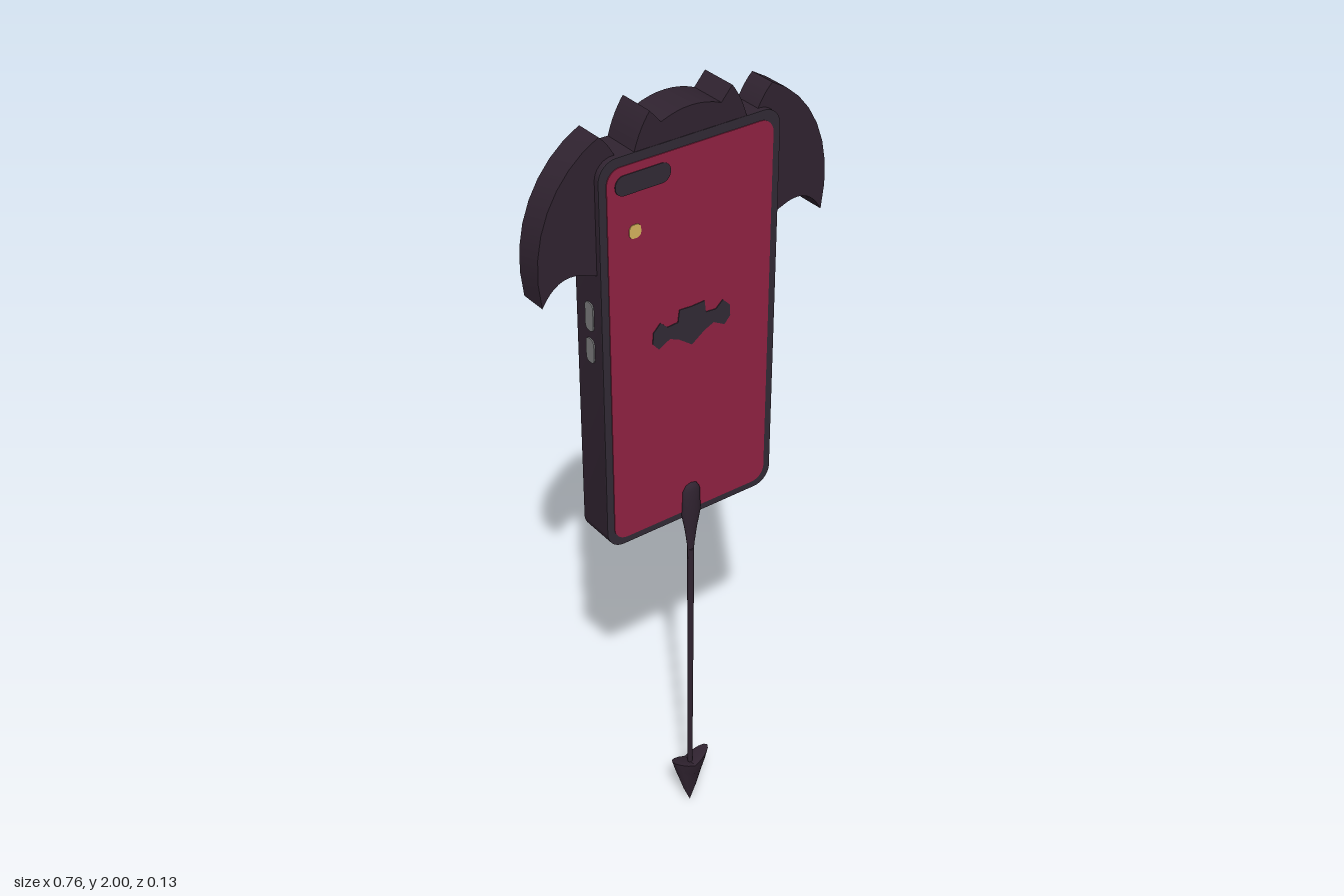
import * as THREE from 'three';
import { toCreasedNormals } from 'three/addons/utils/BufferGeometryUtils.js';

const mat = (name, color, opts = {}) => {
  const m = new THREE.MeshStandardMaterial({ color, ...opts });
  m.name = name;
  return m;
};

export function createModel() {
  const dark = mat('dark plum', 0x302330);
  const slate = mat('dark slate', 0x322a35);
  const red = mat('crimson', 0x922243);
  const grey = mat('grey', 0x7a7a7c);
  const gold = mat('gold', 0xd6b45e);

  const group = new THREE.Group();
  const add = (name, geometry, material, parent = group) => {
    const mesh = new THREE.Mesh(geometry, material);
    mesh.name = name;
    parent.add(mesh);
    return mesh;
  };

  // Rounded rectangle centred on (cx, cy)
  const roundRect = (cx, cy, w, h, r) => {
    const s = new THREE.Shape();
    const x = w / 2 - r, y = h / 2 - r;
    s.absarc(cx + x, cy + y, r, 0, Math.PI / 2);
    s.absarc(cx - x, cy + y, r, Math.PI / 2, Math.PI);
    s.absarc(cx - x, cy - y, r, Math.PI, Math.PI * 1.5);
    s.absarc(cx + x, cy - y, r, Math.PI * 1.5, Math.PI * 2);
    s.closePath();
    return s;
  };
  const polygon = (pts) => new THREE.Shape(pts.map(([x, y]) => new THREE.Vector2(x, y)));
  // Outline from its +x half, mirrored to the other side
  const mirrored = (half) => polygon([
    ...half,
    ...half.filter(([x]) => x > 0).reverse().map(([x, y]) => [-x, y]),
  ]);
  // Slab of a shape between two depths
  const slab = (shape, z0, z1) => {
    const g = new THREE.ExtrudeGeometry(shape, { depth: z1 - z0, bevelEnabled: false, curveSegments: 8 });
    g.translate(0, 0, z0);
    return toCreasedNormals(g, 0.6);
  };

  // Phone case
  add('caseBody', slab(roundRect(0, 1.43, 0.47, 0.98, 0.045), -0.06, 0.032), dark);
  add('frontBezel', slab(roundRect(0, 1.43, 0.47, 0.98, 0.045), 0.032, 0.035), slate);
  add('frontPanel', slab(roundRect(0, 1.428, 0.432, 0.94, 0.035), 0.035, 0.037), red);

  // Front details
  add('cameraStrip', slab(roundRect(-0.126, 1.855, 0.14, 0.046, 0.022), 0.037, 0.039), slate);
  add('flash', slab(roundRect(-0.148, 1.742, 0.03, 0.032, 0.012), 0.037, 0.039), gold);
  add('batDecoration', slab(mirrored([
    [0, 1.412], [0.035, 1.437], [0.06, 1.448], [0.09, 1.432], [0.106, 1.45], [0.104, 1.478],
    [0.085, 1.497], [0.066, 1.48], [0.038, 1.482], [0.034, 1.512], [0, 1.51],
  ]), 0.037, 0.039), slate);

  // Back details
  add('screen', slab(roundRect(0, 1.41, 0.42, 0.76, 0.012), -0.063, -0.06), grey);
  add('homeButton', slab(roundRect(0, 0.98, 0.14, 0.04, 0.019), -0.063, -0.06), red);
  for (const side of [-1, 1]) {
    add('backSlot', slab(roundRect(side * 0.058, 1.874, 0.052, 0.028, 0.01), -0.063, -0.06), grey);
  }
  add('screenIcon', slab(polygon([
    [0.092, 1.705], [0.092, 1.675], [0.107, 1.635], [0.135, 1.635], [0.15, 1.675], [0.15, 1.705],
  ]), -0.065, -0.063), slate);
  add('screenIconCentre', slab(roundRect(0.121, 1.652, 0.03, 0.034, 0.008), -0.067, -0.065), red);

  // Side buttons: [side, centre height, length]
  for (const [side, y, length] of [[1, 1.505, 0.1], [-1, 1.545, 0.07], [-1, 1.46, 0.06]]) {
    const g = slab(roundRect(0, 0, 0.03, length, 0.012), -0.002, 0.003);
    g.rotateY(side * Math.PI / 2);
    g.translate(side * 0.235, y, -0.01);
    add('sideButton', g, grey);
  }

  // Crown with two pointed ears
  const crown = new THREE.Shape();
  crown.moveTo(-0.155, 1.9);
  crown.lineTo(0.155, 1.9);
  crown.lineTo(0.145, 1.918);
  crown.quadraticCurveTo(0.132, 1.965, 0.105, 2.0);
  crown.lineTo(0.077, 1.968);
  crown.quadraticCurveTo(0, 2.0, -0.077, 1.968);
  crown.lineTo(-0.105, 2.0);
  crown.quadraticCurveTo(-0.132, 1.965, -0.145, 1.918);
  crown.closePath();
  add('earCrown', slab(crown, -0.06, 0.034), dark);

  // Bat wings with scalloped lower edges
  for (const side of [-1, 1]) {
    const w = new THREE.Shape();
    w.moveTo(side * 0.18, 1.91);
    w.quadraticCurveTo(side * 0.198, 1.95, side * 0.222, 1.97);
    w.bezierCurveTo(side * 0.33, 1.92, side * 0.405, 1.79, side * 0.372, 1.625);
    w.quadraticCurveTo(side * 0.335, 1.69, side * 0.275, 1.672);
    w.lineTo(side * 0.23, 1.655);
    w.lineTo(side * 0.18, 1.655);
    w.closePath();
    add(side > 0 ? 'leftWing' : 'rightWing', slab(w, -0.048, 0.021), dark);
  }

  // Tail: flattened root, thin cord, arrowhead
  const tail = new THREE.Group();
  tail.name = 'tail';
  tail.position.z = 0.037;
  group.add(tail);
  const lathe = (pts, depthScale) => {
    const g = new THREE.LatheGeometry(pts.map(([r, y]) => new THREE.Vector2(r, y)), 16);
    g.scale(1, 1, depthScale);
    return g;
  };
  add('tailRoot', lathe([
    [0.008, 0.8], [0.01, 0.85], [0.017, 0.9], [0.027, 0.95], [0.025, 0.99], [0.024, 1.015], [0.015, 1.03], [0, 1.034],
  ], 0.5), dark, tail);
  add('tailCord', new THREE.CylinderGeometry(0.0085, 0.0065, 0.7, 8).translate(0, 0.49, 0), dark, tail);

  const head = lathe([
    [0, 0], [0.02, 0.05], [0.036, 0.1], [0.046, 0.135], [0.056, 0.165], [0.04, 0.168], [0, 0.165],
  ], 0.42);
  // Pull the upper middle down so the barbs stand out at both sides
  const p = head.attributes.position;
  for (let i = 0; i < p.count; i++) {
    if (p.getY(i) > 0.12) p.setY(i, p.getY(i) - 0.028 * (1 - Math.abs(p.getX(i)) / 0.056));
  }
  head.computeVertexNormals();
  add('tailArrowhead', toCreasedNormals(head, 0.8), dark, tail);

  return group;
}
